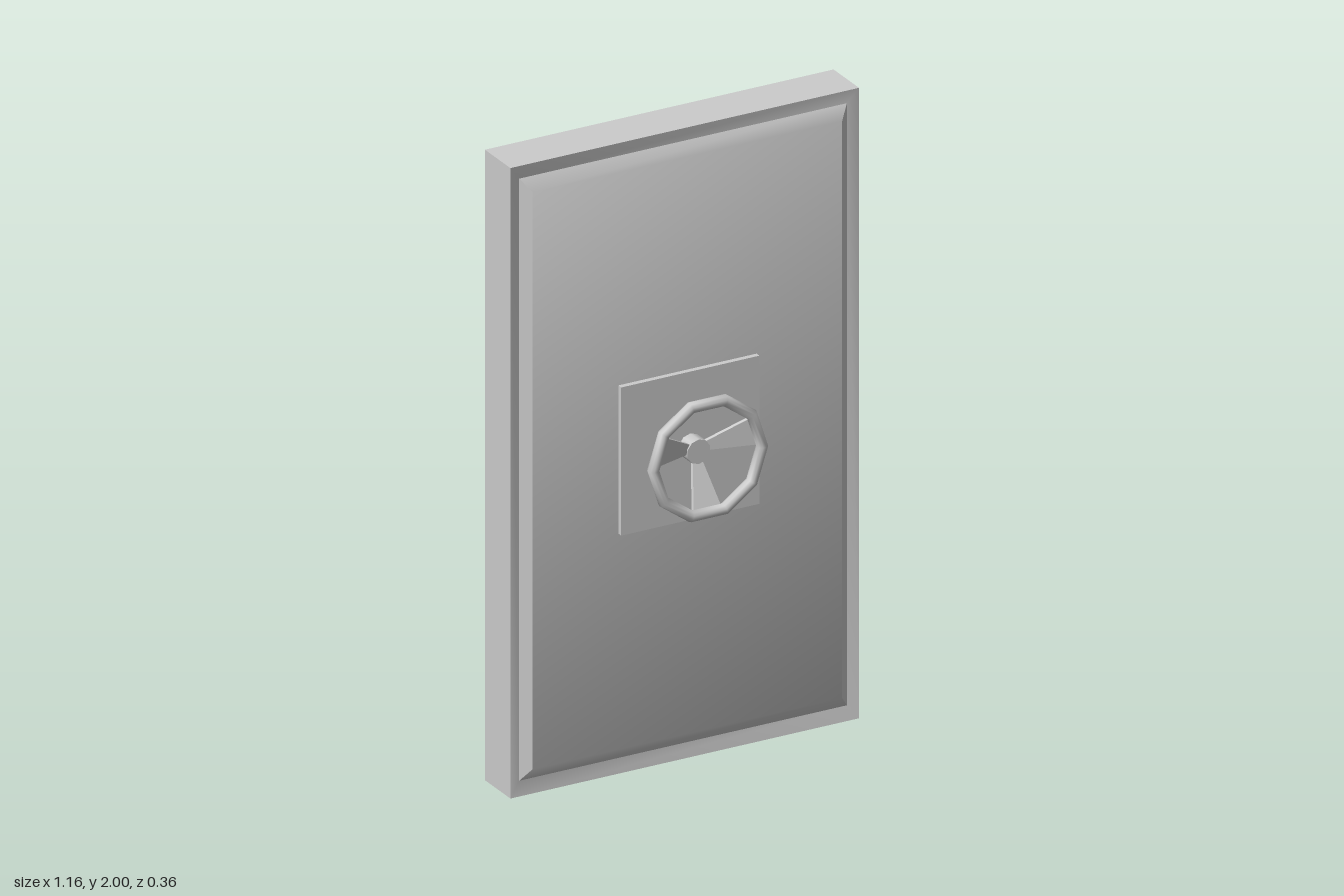
import * as THREE from 'three';
import { toCreasedNormals } from 'three/addons/utils/BufferGeometryUtils.js';

const material = new THREE.MeshStandardMaterial({ color: 0xcccccc });
const CENTRE_Y = 1.005;

function part(name, geometry, parent) {
  const mesh = new THREE.Mesh(geometry, material);
  mesh.name = name;
  parent.add(mesh);
  return mesh;
}

// Closed solid lofted through rectangular rings, from back to front.
function loftRectangles(rings) {
  const positions = [];
  const index = [];
  for (const [hw, hh, z] of rings) {
    positions.push(-hw, -hh, z, hw, -hh, z, hw, hh, z, -hw, hh, z);
  }
  for (let r = 0; r < rings.length - 1; r++) {
    for (let i = 0; i < 4; i++) {
      const a = r * 4 + i, b = r * 4 + (i + 1) % 4;
      index.push(a, b, b + 4, a, b + 4, a + 4);
    }
  }
  const f = (rings.length - 1) * 4;
  index.push(0, 2, 1, 0, 3, 2, f, f + 1, f + 2, f, f + 2, f + 3);
  const geometry = new THREE.BufferGeometry();
  geometry.setAttribute('position', new THREE.Float32BufferAttribute(positions, 3));
  geometry.setIndex(index);
  return toCreasedNormals(geometry, 0.6);
}

// Thin flared spoke running along +x from the hub out and forward to the rim.
function spokeGeometry(inner, outer) {
  const geometry = new THREE.BoxGeometry(1, 1, 0.012);
  const p = geometry.attributes.position;
  for (let i = 0; i < p.count; i++) {
    const t = p.getX(i) + 0.5;
    const width = THREE.MathUtils.lerp(0.03, 0.095, t);
    p.setXYZ(i,
      THREE.MathUtils.lerp(inner.r, outer.r, t),
      p.getY(i) * width,
      p.getZ(i) + THREE.MathUtils.lerp(inner.z, outer.z, t));
  }
  geometry.computeVertexNormals();
  return geometry;
}

// Mounting plate, hub, ten-sided rim and three spokes, facing +z.
function handwheel(name, plateBack, plateFront, hubEnd) {
  const group = new THREE.Group();
  group.name = name;
  group.position.y = CENTRE_Y;
  const wheelZ = 0.165;

  const plate = part('mountingPlate', new THREE.BoxGeometry(0.46, 0.47, plateFront - plateBack), group);
  plate.position.z = (plateBack + plateFront) / 2;

  const length = hubEnd - plateFront + 0.005;
  const hubGeometry = new THREE.CylinderGeometry(0.039, 0.039, length, 10);
  hubGeometry.rotateX(Math.PI / 2);
  part('hub', hubGeometry, group).position.z = hubEnd - length / 2;

  part('wheelRim', new THREE.TorusGeometry(0.181, 0.018, 10, 10), group).position.z = wheelZ;

  for (const degrees of [18, 162, 270]) {
    const spoke = part('spoke', spokeGeometry(
      { r: 0.03, z: hubEnd - 0.014 }, { r: 0.168, z: wheelZ - 0.005 }), group);
    spoke.rotation.z = THREE.MathUtils.degToRad(degrees);
  }
  return group;
}

export function createModel() {
  const model = new THREE.Group();
  model.name = 'vaultDoor';

  // Door slab: recessed back, shallow groove and raised panel on the front
  part('doorSlab', loftRectangles([
    [0.515, 0.915, -0.07],
    [0.58, 1, -0.12],
    [0.58, 1, 0.03],
    [0.545, 0.955, 0.02],
    [0.515, 0.915, 0.046],
  ]), model).position.y = 1;

  // A handwheel on each side
  model.add(handwheel('frontHandwheel', 0.04, 0.063, 0.113));
  const back = handwheel('backHandwheel', 0.06, 0.085, 0.13);
  back.rotation.y = Math.PI;
  model.add(back);

  return model;
}
